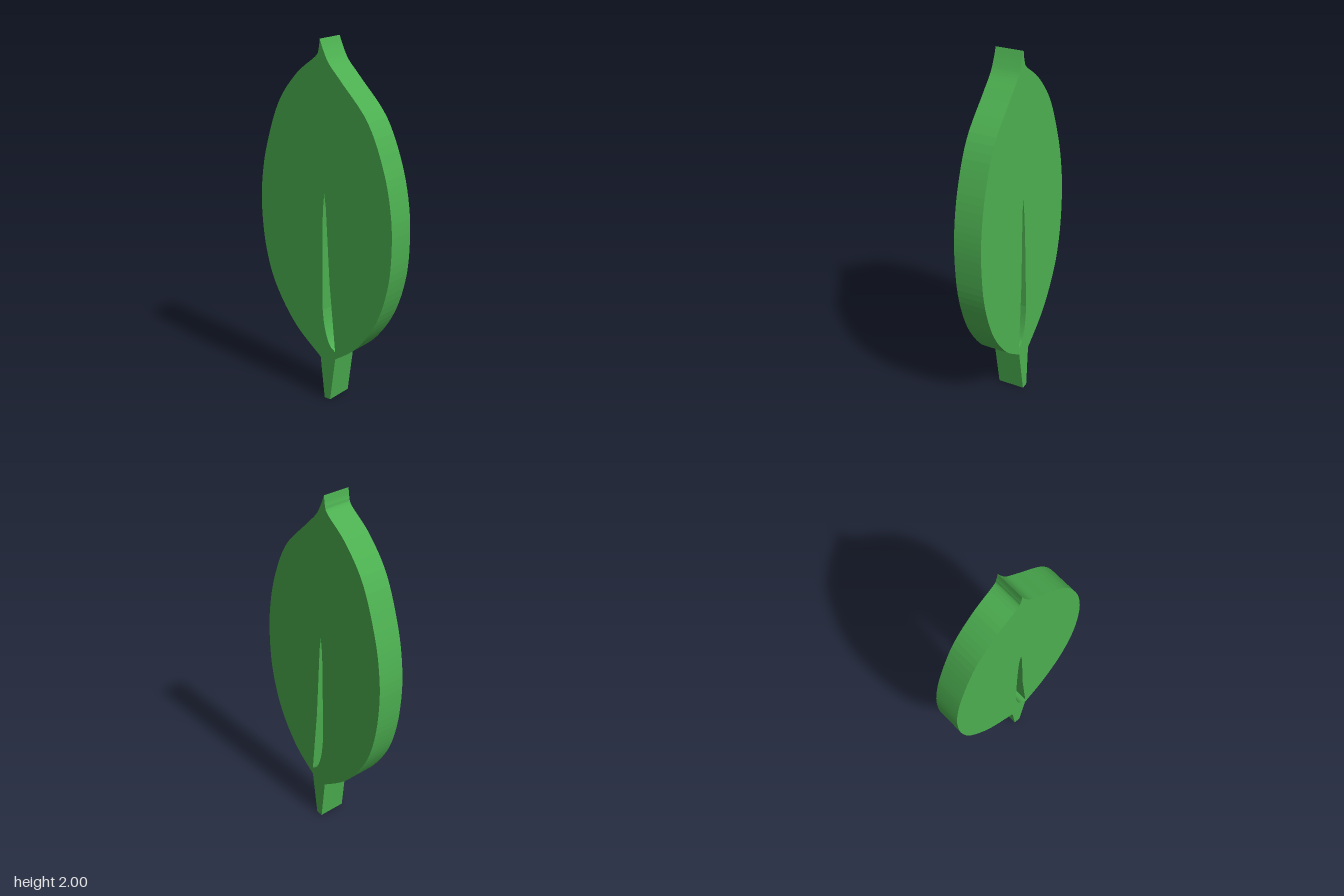
import * as THREE from 'three';

const vectors = (points) => points.map(([x, y]) => new THREE.Vector2(x, y));

export function createModel() {
  const group = new THREE.Group();
  group.name = 'leafModel';
  const depth = 0.155;

  // Blade outline: pointed tip, left edge, tapered stalk, right edge
  const blade = new THREE.Shape();
  blade.moveTo(-0.01, 2.0);
  blade.splineThru(vectors([
    [-0.018, 1.95], [-0.04, 1.91], [-0.17, 1.81], [-0.3, 1.645], [-0.395, 1.4],
    [-0.438, 1.2], [-0.448, 1.02], [-0.425, 0.8], [-0.36, 0.6], [-0.22, 0.395], [-0.035, 0.245],
  ]));
  blade.lineTo(-0.01, 0);
  blade.lineTo(0.03, 0);
  blade.lineTo(0.07, 0.26);
  blade.splineThru(vectors([
    [0.22, 0.375], [0.35, 0.56], [0.425, 0.78], [0.447, 1.0], [0.436, 1.2],
    [0.387, 1.41], [0.29, 1.625], [0.127, 1.8], [0.05, 1.88], [0.015, 1.94], [-0.01, 2.0],
  ]));

  // Tapered midrib slit
  const slit = new THREE.Path();
  slit.moveTo(0.07, 0.305);
  slit.lineTo(0.036, 0.7);
  slit.lineTo(0.016, 1.13);
  slit.lineTo(0.007, 1.2);
  slit.splineThru(vectors([[-0.004, 1.1], [-0.011, 0.9], [-0.015, 0.53]]));
  slit.splineThru(vectors([[-0.006, 0.45], [0.012, 0.38], [0.036, 0.33], [0.07, 0.305]]));
  blade.holes.push(slit);

  const geometry = new THREE.ExtrudeGeometry(blade, { depth, bevelEnabled: false, curveSegments: 5 });
  geometry.translate(0, -1, -depth / 2);
  // Slight forward lean
  geometry.rotateX(0.015);
  geometry.translate(0, 1, 0);

  const leaf = new THREE.Mesh(geometry, new THREE.MeshStandardMaterial({ color: 0x4caf50 }));
  leaf.name = 'leaf';
  group.add(leaf);
  return group;
}
